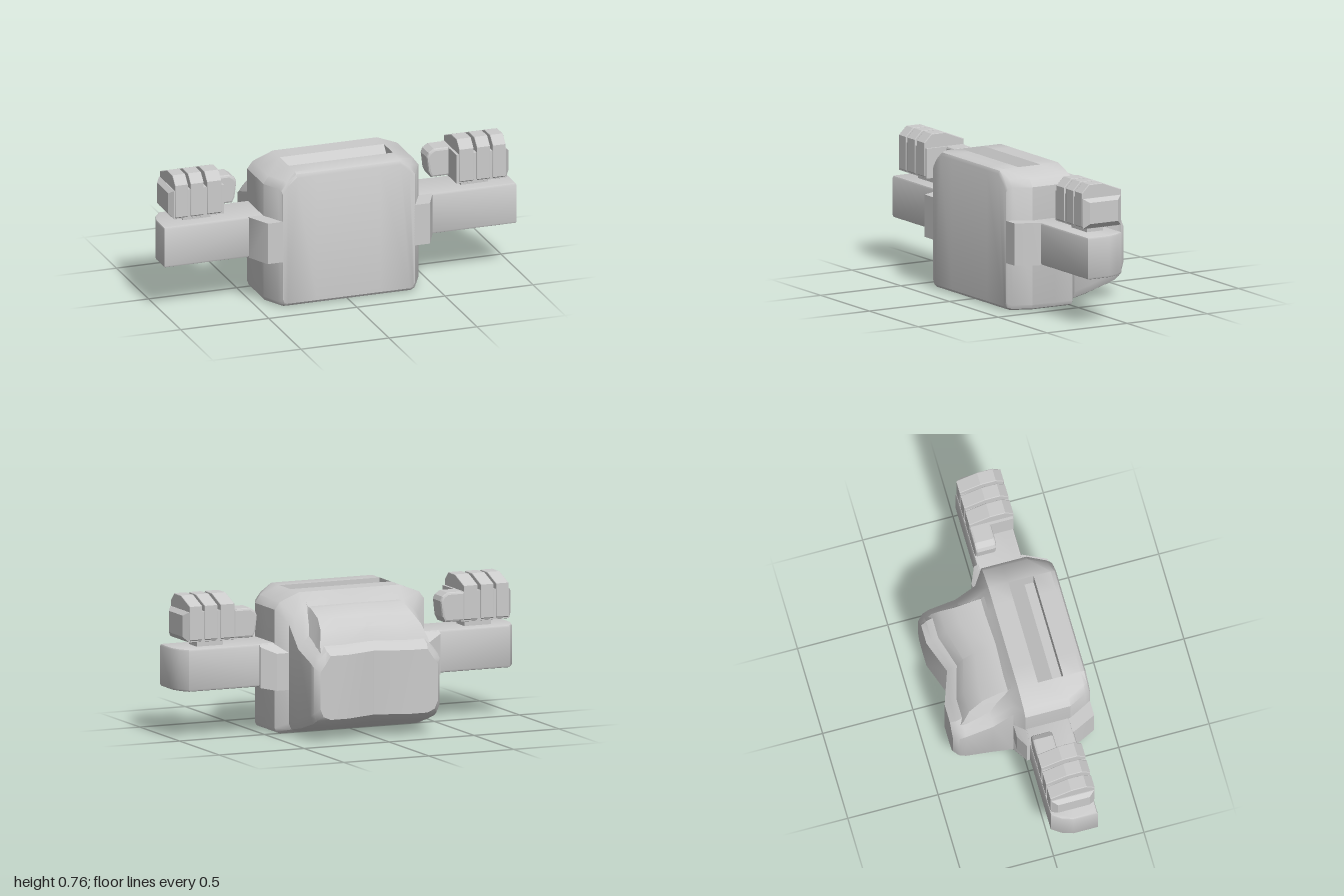
import * as THREE from 'three';
import { toCreasedNormals } from 'three/addons/utils/BufferGeometryUtils.js';
import { ConvexGeometry } from 'three/addons/geometries/ConvexGeometry.js';

const material = new THREE.MeshStandardMaterial({ color: 0xcccccc });
const doubleSided = new THREE.MeshStandardMaterial({ color: 0xcccccc, side: THREE.DoubleSide });

function add(parent, name, geometry, mat = material, crease = 0.6) {
  const mesh = new THREE.Mesh(toCreasedNormals(geometry, crease), mat);
  mesh.name = name;
  parent.add(mesh);
  return mesh;
}

// The back is folded inwards along its centre line.
const fold = (x, z) => (z < 0 ? z - 0.17 * z * Math.max(0, 1 - Math.abs(x) / 0.18) : z);

// Skin over sections running front to back; each is {z, half: [[x, y]...]} and is mirrored in x.
function loft(sections, closed, skip = () => false) {
  const pos = [], index = [];
  const rings = sections.map(({ z, half }) => {
    const mirrored = half.slice(1, closed ? -1 : undefined).reverse().map(([x, y]) => [-x, y]);
    const ring = closed ? [...half, ...mirrored] : [...mirrored, ...half];
    return ring.map(([x, y]) => [x, y, fold(x, z)]);
  });
  const n = rings[0].length;
  rings.forEach((ring) => ring.forEach((p) => pos.push(...p)));
  for (let s = 0; s < rings.length - 1; s++) {
    for (let i = 0; i < (closed ? n : n - 1); i++) {
      if (skip(s, i)) continue;
      const j = (i + 1) % n, a = s * n + i, b = s * n + j, c = a + n, d = b + n;
      index.push(a, b, d, a, d, c);
    }
  }
  if (closed) {
    // caps, in vertical strips from left to right
    const last = (rings.length - 1) * n, h = n / 2;
    const cols = h - 1;
    for (let k = 0; k < cols; k++) {
      const t0 = (n - (cols >> 1) + k) % n, t1 = (t0 + 1) % n;
      const b0 = (h + (cols >> 1) - k + n) % n, b1 = b0 - 1;
      index.push(t0, b0, b1, t0, b1, t1);
      index.push(last + t0, last + b1, last + b0, last + t0, last + t1, last + b1);
    }
  }
  const g = new THREE.BufferGeometry();
  g.setAttribute('position', new THREE.Float32BufferAttribute(pos, 3));
  g.setIndex(index);
  return g;
}

// Body section: half width, top, bottom, bottom corner radius
function bodySection(z, w, top, bottom, r = 0.03) {
  return {
    z,
    half: [
      [0, top], [0.18, top], [Math.min(0.295, w - 0.06), top], [w - 0.03, top - 0.045], [w, top - 0.085],
      [w, bottom + r], [w - r * 0.3, bottom + r * 0.3], [w - r, bottom], [0.18, bottom], [0, bottom],
    ],
  };
}

function prism(points, depth, bevel = 0) {
  const shape = new THREE.Shape(points.map(([x, y]) => new THREE.Vector2(x, y)));
  return new THREE.ExtrudeGeometry(shape, {
    depth: depth - 2 * bevel, bevelEnabled: bevel > 0, bevelSize: bevel, bevelThickness: bevel,
    bevelOffset: -bevel, bevelSegments: 2,
  }).translate(0, 0, bevel);
}

// Plan outline [x, z] raised from y0 to y1
const planPrism = (points, y0, y1, bevel) =>
  prism(points.map(([x, z]) => [x, -z]), y1 - y0, bevel).rotateX(-Math.PI / 2).translate(0, y0, 0);

// Side outline [z, y] running from x0 to x1
const sidePrism = (points, x0, x1, bevel) =>
  prism(points.map(([z, y]) => [-z, y]), x1 - x0, bevel).rotateY(Math.PI / 2).translate(x0, 0, 0);

const hull = (points) => new ConvexGeometry(points.map((p) => new THREE.Vector3(...p)));

function buildBody(parent) {
  const sections = [
    bodySection(0.375, 0.375, 0.73, 0.02),
    bodySection(0.366, 0.38, 0.747, 0.007),
    bodySection(0.345, 0.392, 0.755, 0),
    bodySection(0.25, 0.44, 0.755, 0),
    bodySection(0.11, 0.44, 0.755, 0),
    bodySection(0, 0.44, 0.755, 0),
    bodySection(-0.05, 0.38, 0.68, 0.01, 0.05),
    bodySection(-0.16, 0.375, 0.56, 0.03, 0.06),
    bodySection(-0.31, 0.375, 0.51, 0.075, 0.06),
    bodySection(-0.345, 0.37, 0.488, 0.096, 0.06),
    bodySection(-0.375, 0.345, 0.465, 0.12, 0.06),
  ];
  // the top stays open over the slot
  add(parent, 'body', loft(sections, true, (s, i) => s === 3 && (i < 2 || i > 15)));

  // slot: open-topped box with a sloping rear wall
  const slot = new THREE.BoxGeometry(0.59, 0.1, 0.14);
  slot.setIndex([...slot.index.array].filter((_, i) => i < 12 || i >= 18));
  const p = slot.attributes.position;
  for (let i = 0; i < p.count; i++) if (p.getY(i) < 0 && p.getZ(i) < 0) p.setZ(i, 0.02);
  slot.translate(0, 0.705, 0.18);
  add(parent, 'topSlot', slot, doubleSided);

  // raised panel on the back: z, top, top half width, foot half width, foot height
  const panel = [
    [0, 0.75, 0.27, 0.29, 0.68],
    [-0.05, 0.683, 0.27, 0.30, 0.62],
    [-0.09, 0.68, 0.27, 0.315, 0.56],
    [-0.19, 0.64, 0.275, 0.33, 0.49],
    [-0.27, 0.585, 0.295, 0.335, 0.46],
    [-0.31, 0.51, 0.318, 0.335, 0.44],
    [-0.33, 0.47, 0.32, 0.33, 0.43],
  ].map(([z, top, wt, wb, foot]) => ({ z, half: [[0, top], [0.18, top], [wt, top], [wb, foot]] }));
  add(parent, 'backPanel', loft(panel, false), doubleSided);
}

function buildSide(name) {
  const side = new THREE.Group();
  side.name = name;

  // arm with its outer rear corner cut back
  add(side, 'arm', planPrism(
    [[0.4, 0.245], [1, 0.245], [1, 0.11], [0.98, 0.05], [0.945, 0], [0.4, 0]], 0.26, 0.49, 0.012));
  add(side, 'frontBracket', planPrism(
    [[0.37, 0.375], [0.46, 0.375], [0.52, 0.25], [0.52, 0.24], [0.4, 0.24]], 0.26, 0.49));
  add(side, 'rearBracket', hull([
    [0.4, 0.49, 0.01], [0.53, 0.49, 0.01], [0.4, 0.26, 0.01], [0.53, 0.26, 0.01],
    [0.53, 0.475, -0.015], [0.53, 0.255, -0.015],
    [0.36, 0.44, -0.05], [0.45, 0.44, -0.05], [0.36, 0.24, -0.05], [0.45, 0.24, -0.05],
  ]), material, 0.2);

  // pod on a short stem
  add(side, 'stem', new THREE.BoxGeometry(0.155, 0.06, 0.1).translate(0.788, 0.51, 0.12));
  const core = [];
  for (const [x, m, y0, y1] of [[0.66, 0.005, 0.528, 0.69], [0.942, 0.005, 0.528, 0.69], [0.965, 0.035, 0.555, 0.67]]) {
    for (const y of [y0, y1]) core.push([x, y, m], [x, y, 0.245 - m]);
  }
  add(side, 'podCore', hull(core), material, 0.2);

  // three ribs wrapped around the pod
  const rib = [[0.245, 0.54], [0.245, 0.72], [0.2, 0.765], [0.115, 0.765], [0, 0.72], [0, 0.54], [0.012, 0.525], [0.233, 0.525]];
  for (const [x0, x1] of [[0.675, 0.757], [0.775, 0.85], [0.865, 0.938]]) {
    add(side, 'podRib', sidePrism(rib.slice().reverse(), x0, x1, 0.004), material, 0.3);
  }
  add(side, 'podKnob', prism(
    [[0.68, 0.53], [0.565, 0.53], [0.55, 0.56], [0.54, 0.645], [0.55, 0.67], [0.58, 0.69], [0.68, 0.69]], 0.115, 0.012),
  material, 0.3);
  return side;
}

export function createModel() {
  const model = new THREE.Group();
  model.name = 'model';
  buildBody(model);
  const left = buildSide('leftSide');
  const right = buildSide('rightSide');
  right.scale.x = -1;
  model.add(left, right);
  return model;
}
